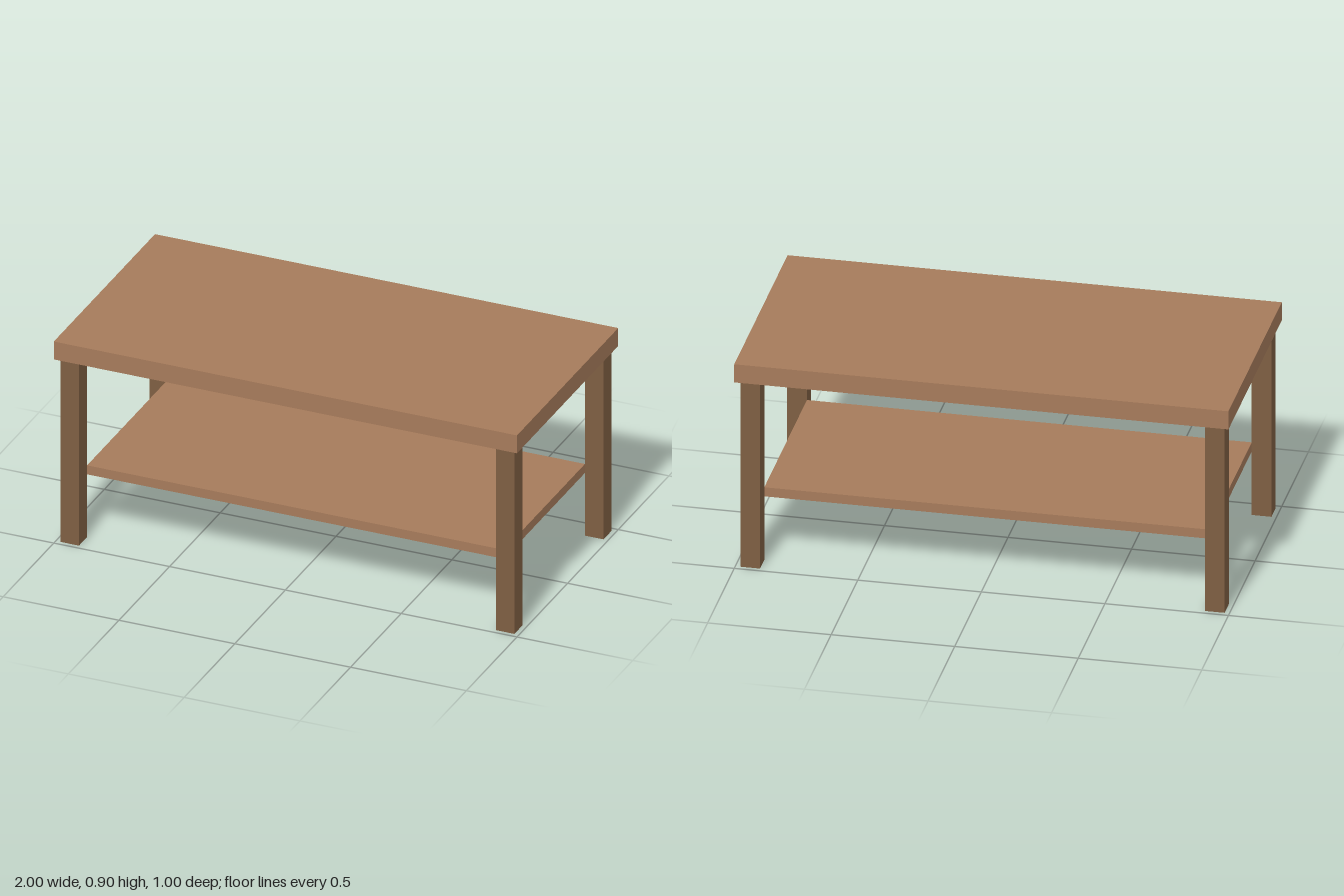
import * as THREE from 'three';

const topWood = new THREE.MeshStandardMaterial({ color: 0xa67b5b });
const legWood = new THREE.MeshStandardMaterial({ color: 0x7f5f43 });

// Box resting with its underside at height y
function board(name, w, h, d, x, y, z, material) {
  const mesh = new THREE.Mesh(new THREE.BoxGeometry(w, h, d), material);
  mesh.name = name;
  mesh.position.set(x, y + h / 2, z);
  return mesh;
}

export function createModel() {
  const table = new THREE.Group();
  table.name = 'coffeeTable';

  // Table top and lower shelf
  table.add(board('tableTop', 2, 0.08, 1, 0, 0.82, 0, topWood));
  table.add(board('shelf', 1.8, 0.04, 0.8, 0, 0.28, 0, topWood));

  // Four square legs, meeting the shelf at its corners
  for (const [side, x] of [['Left', 0.94], ['Right', -0.94]]) {
    for (const [end, z] of [['front', 0.44], ['back', -0.44]]) {
      table.add(board(`${end}${side}Leg`, 0.08, 0.82, 0.08, x, 0, z, legWood));
    }
  }
  return table;
}
